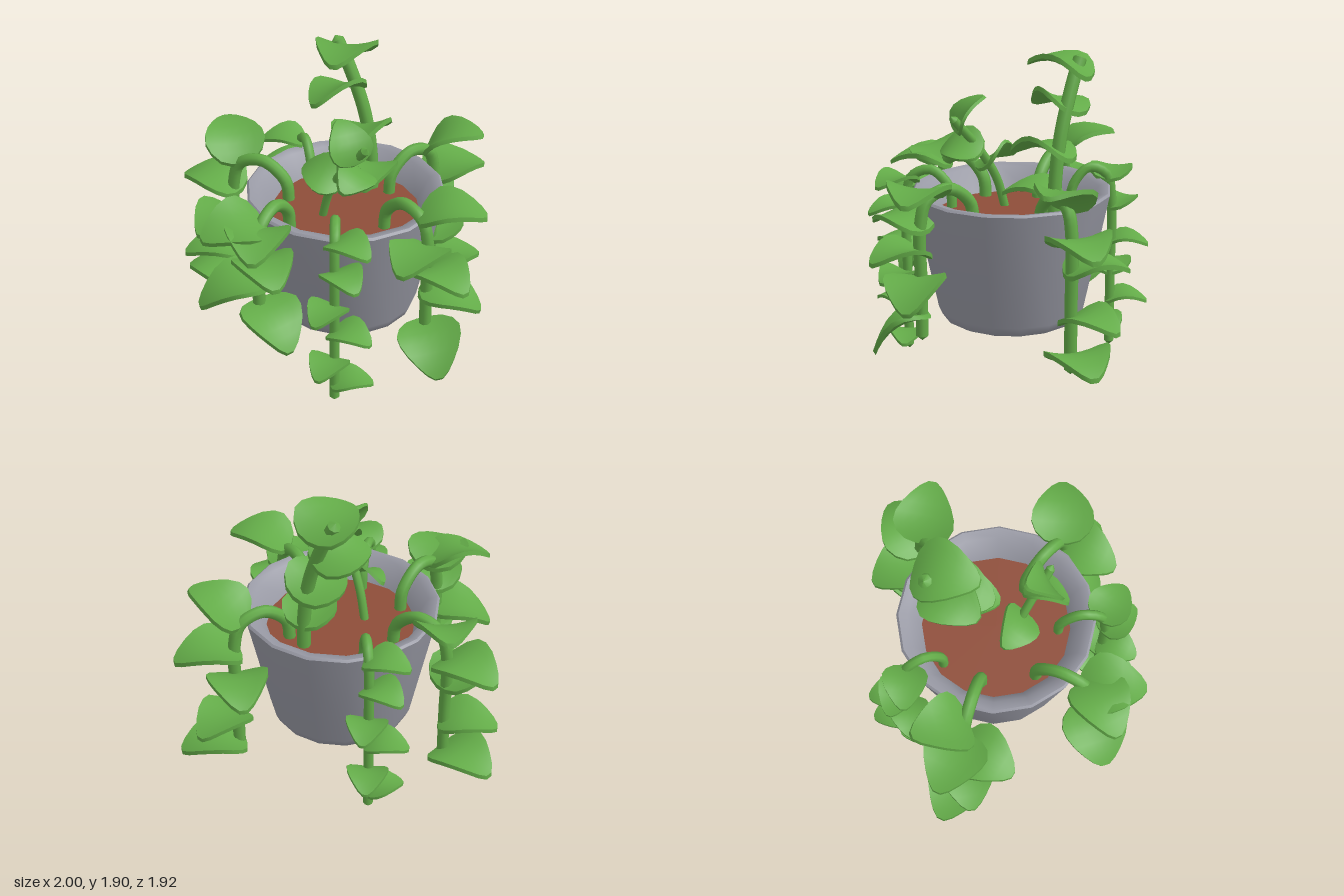
import * as THREE from 'three';
import { toCreasedNormals } from 'three/addons/utils/BufferGeometryUtils.js';

const mat = (name, color) => Object.assign(new THREE.MeshStandardMaterial({ color }), { name });
const V = (x, y, z) => new THREE.Vector3(x, y, z);

// Unit heart-shaped leaf along +z: arched along its length, dished across.
function leafGeometry() {
  // [position along leaf, half width]
  const rows = [[-0.1, 0.1], [-0.06, 0.28], [0.05, 0.42], [0.2, 0.49], [0.36, 0.47],
    [0.54, 0.39], [0.7, 0.28], [0.83, 0.17], [0.91, 0.06]];
  const n = 7, ring = n * 2, half = 0.037, pts = [], tri = [];
  for (const [s, w] of rows) {
    for (let k = 0; k < ring; k++) {
      const top = k < n;
      const x = w * ((top ? k : ring - 1 - k) / (n - 1) * 2 - 1);
      pts.push(V(x, 0.55 * s - 0.66 * s * s + 0.4 * x * x + (top ? half : -half), s));
    }
  }
  for (let i = 0; i < rows.length - 1; i++) {
    for (let j = 0; j < ring; j++) {
      const a = i * ring + j, b = i * ring + (j + 1) % ring;
      tri.push(a, a + ring, b, b, a + ring, b + ring);
    }
  }
  const last = (rows.length - 1) * ring;
  for (let j = 1; j < ring - 1; j++) tri.push(0, j, j + 1, last, last + j + 1, last + j);
  const g = new THREE.BufferGeometry().setFromPoints(pts);
  g.setIndex(tri);
  return toCreasedNormals(g, 0.8);
}

export function createModel() {
  const model = new THREE.Group();
  model.name = 'pottedTrailingPlant';
  const potGrey = mat('potGrey', 0x9899a4);
  const soilBrown = mat('soilBrown', 0x8e4d39);
  const leafGreen = mat('leafGreen', 0x63ab48);
  const leafGeo = leafGeometry();

  const add = (name, geo, material, parent = model) => {
    const m = new THREE.Mesh(geo, material);
    m.name = name;
    parent.add(m);
    return m;
  };

  // Heading is in degrees from +x towards +z
  const leaf = (parent, x, y, z, heading, size, pitch = 0, roll = 0) => {
    const m = add('leaf', leafGeo, leafGreen, parent);
    m.position.set(x, y, z);
    m.rotation.set(-pitch, Math.PI / 2 - THREE.MathUtils.degToRad(heading), roll, 'YXZ');
    m.scale.setScalar(size);
  };

  // Round stem with a pointed tip
  const stem = (parent, points, r) => {
    const curve = new THREE.CatmullRomCurve3(points);
    add('stem', new THREE.TubeGeometry(curve, 40, r, 8), leafGreen, parent);
    const tip = add('stemTip', new THREE.ConeGeometry(r, 0.03, 8), leafGreen, parent);
    const dir = curve.getTangent(1);
    tip.position.copy(points[points.length - 1]).addScaledVector(dir, 0.015);
    tip.quaternion.setFromUnitVectors(V(0, 1, 0), dir);
  };

  // Stem that arches over the rim and hangs; leaves are [y, turn from outward, size, pitch, roll]
  const trailing = (name, [x0, z0], [x1, z1], bottom, r, outward, leaves) => {
    const g = new THREE.Group();
    g.name = name;
    model.add(g);
    const at = (t, y) => V(x0 + (x1 - x0) * t, y, z0 + (z1 - z0) * t);
    stem(g, [at(0, 0.9), at(0.06, 1.04), at(0.45, 1.145), at(0.87, 1.1), at(1, 0.96),
      at(1, (0.96 + bottom) / 2), at(1, bottom + 0.03)], r);
    for (const [y, turn, size, pitch, roll] of leaves) {
      const p = at(y > 1.02 ? 0.92 : 1, y);
      leaf(g, p.x, y, p.z, outward + turn, size, pitch, roll);
    }
  };

  // Pot with rounded foot, bevelled lip and sloping inner wall
  const profile = [[0, 0.28], [0.375, 0.28], [0.415, 0.3], [0.437, 0.35],
    [0.584, 1.045], [0.588, 1.06], [0.575, 1.072], [0.52, 1.06], [0.44, 0.915]];
  const lathe = new THREE.LatheGeometry(profile.map(([x, y]) => new THREE.Vector2(x, y)), 16);
  add('pot', toCreasedNormals(lathe, 0.9), potGrey).position.set(0.07, 0, -0.015);
  const soil = add('soil', new THREE.CircleGeometry(0.445, 16), soilBrown);
  soil.rotation.x = -Math.PI / 2;
  soil.position.set(0.07, 0.92, -0.015);

  // Long thick stems
  const longLeaves = [[1.13, 54, 0.37, 0.42, 0], [0.92, 10, 0.39, 0.03, 0], [0.75, -75, 0.37, 0, 0],
    [0.47, -23, 0.35, 0, 0], [0.25, 10, 0.39, 0.03, 0]];
  trailing('rightTrailingStem', [-0.28, 0.05], [-0.64, 0.1], 0.14, 0.037, 171, longLeaves);
  trailing('backTrailingStem', [0.2, -0.32], [0.34, -0.64], 0.14, 0.037, 293, longLeaves);
  // Left and front thick stems
  trailing('leftTrailingStem', [0.36, 0.04], [0.7, 0.15], 0.27, 0.037, 15,
    [[1.14, -38, 0.38, 0.1, 0], [0.95, 75, 0.37, 0, 0], [0.8, 5, 0.35, 0, 0],
      [0.65, -40, 0.37, -0.3, 0.1], [0.42, 30, 0.38, -0.6, 0.2]]);
  trailing('frontTrailingStem', [-0.11, 0.32], [-0.11, 0.67], 0.52, 0.037, 90,
    [[1.11, 35, 0.38, 0, -0.25], [1.08, -25, 0.38, 0, 0], [0.9, -50, 0.36, 0, 0],
      [0.75, 48, 0.4, -0.3, 0], [0.59, -68, 0.38, -0.5, 0]]);
  // Thin stems
  const thinLeaves = [[1.08, -56, 0.27, 0, 0], [0.9, -36, 0.26, 0, 0], [0.67, 25, 0.25, 0, 0],
    [0.49, -66, 0.26, 0, 0], [0.3, 20, 0.25, 0, 0], [0.12, -100, 0.25, 0, 0]];
  trailing('frontThinStem', [0.2, 0.33], [0.335, 0.575], 0, 0.03, 66, thinLeaves);
  trailing('backThinStem', [-0.27, -0.2], [-0.455, -0.37], 0, 0.03, 214, thinLeaves);

  // Tall upright stem
  const tall = new THREE.Group();
  tall.name = 'tallStem';
  model.add(tall);
  stem(tall, [V(0.08, 0.9, -0.33), V(0.07, 1.15, -0.33), V(0.02, 1.42, -0.33),
    V(-0.09, 1.7, -0.33), V(-0.165, 1.84, -0.33)], 0.04);
  leaf(tall, -0.1, 1.77, -0.4, 80, 0.38, 0.15, 0.1);
  leaf(tall, -0.07, 1.56, -0.34, 105, 0.36, 0, 0.3);
  leaf(tall, 0.04, 1.31, -0.37, 85, 0.38, 0, 0.25);
  leaf(tall, 0.08, 1.08, -0.33, 72, 0.34, 0, 0);

  // Short leaning stem
  const short = new THREE.Group();
  short.name = 'shortStem';
  model.add(short);
  stem(short, [V(-0.02, 0.9, 0.1), V(0.04, 1.1, 0.12), V(0.16, 1.3, 0.16), V(0.32, 1.49, 0.21)], 0.026);
  leaf(short, 0.11, 1.2, 0.13, 180, 0.27, 0.1, -0.65);
  leaf(short, 0.25, 1.42, 0.24, 215, 0.27, 0.9, 0);
  leaf(short, 0.22, 1.31, 0.12, 80, 0.27, -0.1, -0.6);

  return model;
}
